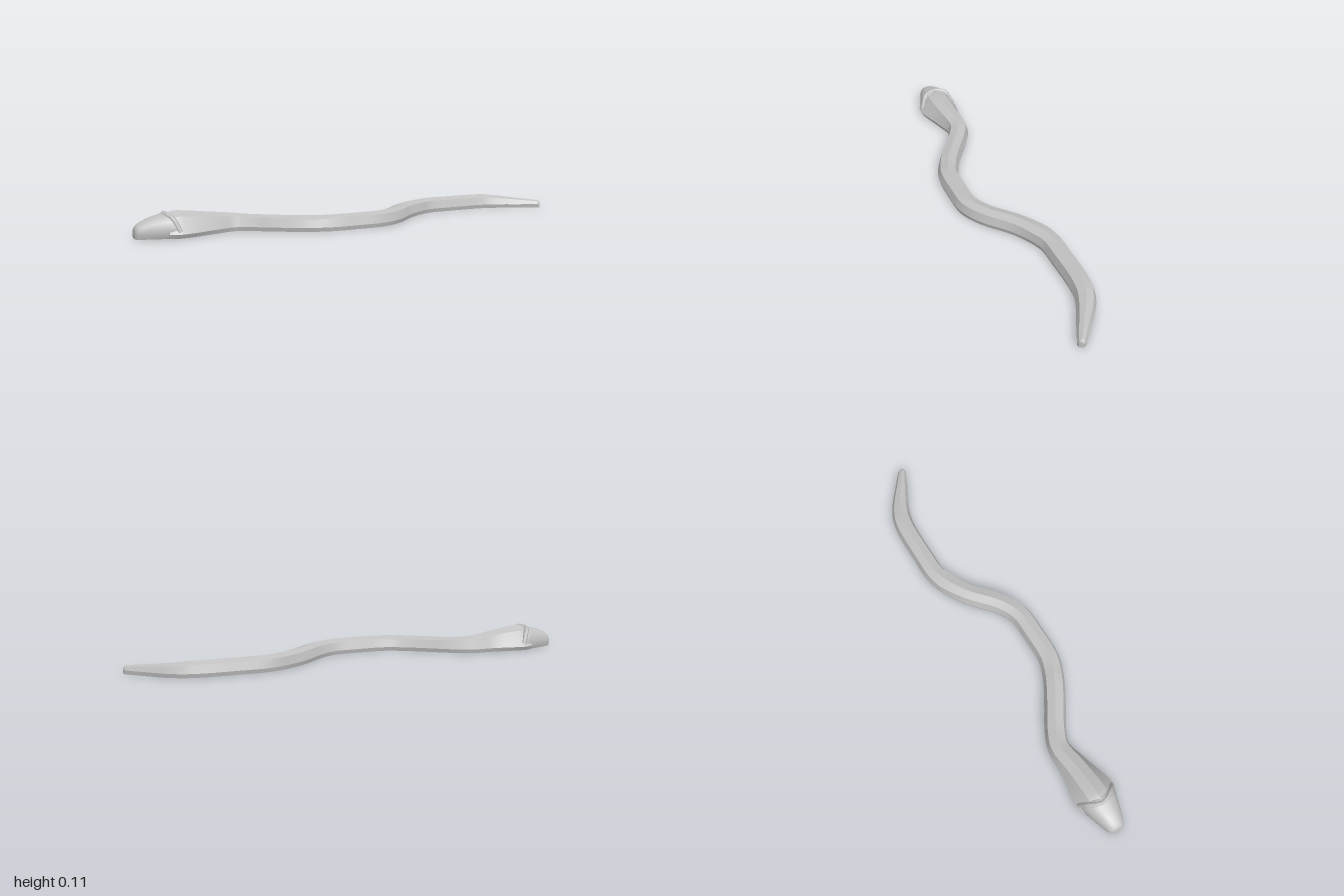
import * as THREE from 'three';
import { mergeGeometries } from 'three/addons/utils/BufferGeometryUtils.js';

const V = (x, y, z) => new THREE.Vector3(x, y, z);

// One smooth strip per section edge, so ridges stay sharp and lengths stay smooth
function stripLoft(rings) {
  const n = rings[0].length, strips = [];
  const build = (pts, idx) => {
    const g = new THREE.BufferGeometry().setFromPoints(pts);
    g.setIndex(idx);
    g.computeVertexNormals();
    strips.push(g);
  };
  for (let j = 0; j < n; j++) {
    const pts = [], idx = [];
    rings.forEach((r, i) => {
      pts.push(r[j], r[(j + 1) % n]);
      if (i === rings.length - 1) return;
      const a = 2 * i, b = a + 1, d = a + 2, c = a + 3;
      idx.push(a, d, c, a, c, b);
    });
    build(pts, idx);
  }
  const first = [], last = [];
  for (let j = 1; j < n - 1; j++) {
    first.push(0, j, j + 1);
    last.push(0, j + 1, j);
  }
  build(rings[0], first);
  build(rings[rings.length - 1], last);
  return mergeGeometries(strips);
}

// Smooth lofted skin with rounded section, sharing vertices around the dome
function domeLoft(rings) {
  const n = rings[0].length, idx = [];
  for (let i = 0; i < rings.length - 1; i++) {
    for (let j = 0; j < n - 1; j++) {
      const a = i * n + j, b = a + 1, d = a + n, c = d + 1;
      idx.push(a, d, c, a, c, b);
    }
  }
  for (let j = 1; j < n - 1; j++) idx.push(0, j, j + 1);
  const g = new THREE.BufferGeometry().setFromPoints(rings.flat());
  g.setIndex(idx);
  g.computeVertexNormals();
  return g;
}

export function createModel() {
  const group = new THREE.Group();
  const skin = new THREE.MeshStandardMaterial({ color: 0xc0c0c0 });
  skin.name = 'grey skin';
  const add = (name, geometry) => {
    const mesh = new THREE.Mesh(geometry, skin);
    mesh.name = name;
    group.add(mesh);
  };

  // Body stations: x, z, half width, shoulder half width, shoulder height, ridge height
  const body = [
    [-0.87, -0.058, 0.083, 0.042, 0.08, 0.096],
    [-0.83, -0.058, 0.096, 0.045, 0.085, 0.106],
    [-0.78, -0.06, 0.09, 0.044, 0.083, 0.102],
    [-0.68, -0.067, 0.066, 0.04, 0.073, 0.089],
    [-0.57, -0.076, 0.05, 0.037, 0.061, 0.074],
    [-0.49, -0.042, 0.048, 0.036, 0.057, 0.067],
    [-0.4, 0.015, 0.048, 0.036, 0.056, 0.066],
    [-0.29, 0.078, 0.048, 0.036, 0.055, 0.066],
    [-0.2, 0.11, 0.048, 0.036, 0.055, 0.066],
    [-0.07, 0.114, 0.048, 0.036, 0.055, 0.066],
    [0.05, 0.108, 0.048, 0.036, 0.055, 0.066],
    [0.14, 0.064, 0.048, 0.036, 0.055, 0.066],
    [0.27, -0.045, 0.048, 0.036, 0.055, 0.066],
    [0.41, -0.113, 0.047, 0.036, 0.055, 0.066],
    [0.53, -0.118, 0.046, 0.035, 0.055, 0.066],
    [0.73, -0.112, 0.045, 0.034, 0.053, 0.065],
    [0.81, -0.085, 0.041, 0.029, 0.048, 0.057],
    [0.9, -0.031, 0.031, 0.02, 0.04, 0.046],
    [0.97, 0.013, 0.021, 0.013, 0.033, 0.038],
    [0.988, 0.025, 0.017, 0.01, 0.031, 0.035],
    [0.996, 0.03, 0.009, 0.005, 0.026, 0.029],
  ];
  const path = new THREE.CatmullRomCurve3(body.map(s => V(s[0], s[2], s[1])));
  const size = new THREE.CatmullRomCurve3(body.map(s => V(s[3], s[4], s[5])));
  const rings = [], steps = (body.length - 1) * 4;
  for (let i = 0; i <= steps; i++) {
    const p = path.getPoint(i / steps), q = size.getPoint(i / steps);
    const t = path.getTangent(i / steps).setY(0).normalize();
    const w = p.y;
    const section = [
      [w * 0.9, 0], [w, 0.018], [q.x, q.y], [0, q.z],
      [-q.x, q.y], [-w, 0.018], [-w * 0.9, 0],
    ];
    rings.push(section.map(([o, y]) => V(p.x - t.z * o, y, p.z + t.x * o)));
  }
  add('body', stripLoft(rings));

  // Head: rounded wedge, stations x, half width, height
  const headCurve = new THREE.CatmullRomCurve3([
    V(-1, 0.022, 0.04), V(-0.99, 0.036, 0.055), V(-0.95, 0.052, 0.077),
    V(-0.9, 0.069, 0.092), V(-0.86, 0.08, 0.099), V(-0.835, 0.084, 0.085),
  ]);
  const headRings = [], axis = -0.058;
  for (let i = 0; i <= 20; i++) {
    const s = headCurve.getPoint(i / 20), ring = [V(s.x, 0, axis + s.y * 0.88)];
    for (let k = 0; k <= 16; k++) {
      const a = Math.PI * k / 16, c = Math.cos(a);
      const z = Math.sign(c) * Math.pow(Math.abs(c), 0.8) * s.y;
      ring.push(V(s.x, 0.018 + (s.z - 0.018) * Math.pow(Math.abs(Math.sin(a)), 0.8), axis + z));
    }
    ring.push(V(s.x, 0, axis - s.y * 0.88));
    headRings.push(ring);
  }
  add('head', domeLoft(headRings));
  const under = new THREE.Shape(headRings.map(r => new THREE.Vector2(r[0].x, r[0].z))
    .concat(headRings.map(r => new THREE.Vector2(r[17].x, r[r.length - 1].z)).reverse()));
  add('chin', new THREE.ShapeGeometry(under).rotateX(Math.PI / 2));

  // Raised ridge where the head meets the hood, mirrored on both sides
  for (const side of [1, -1]) {
    const ridge = new THREE.CatmullRomCurve3([
      V(-0.875, 0.092, axis), V(-0.867, 0.092, axis + side * 0.03),
      V(-0.85, 0.08, axis + side * 0.058), V(-0.835, 0.05, axis + side * 0.074),
      V(-0.825, 0.025, axis + side * 0.083),
    ]);
    add(side > 0 ? 'leftJawRidge' : 'rightJawRidge', new THREE.TubeGeometry(ridge, 20, 0.011, 8));
  }
  return group;
}
